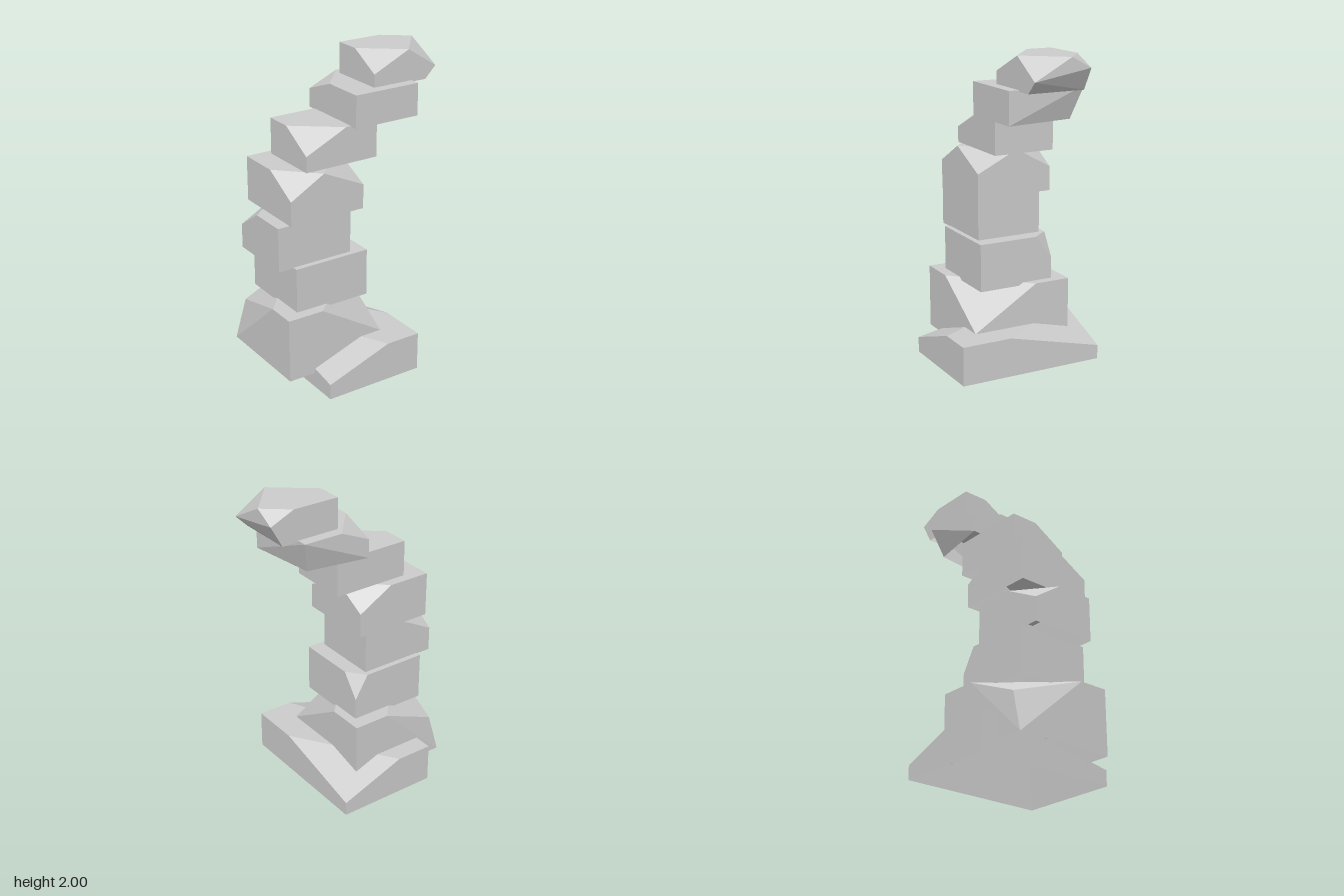
import * as THREE from 'three';
import { ConvexGeometry } from 'three/addons/geometries/ConvexGeometry.js';

const stone = new THREE.MeshStandardMaterial({ color: 0xcccccc, flatShading: true, side: THREE.DoubleSide });

// A stone block, hollow underneath. x, y, z are [min, max] ranges.
// chips: 'sides' names a top corner (e.g. 'RF' = +x, +z); the cut meets the
// top edges at x and z and the upright edge at y (moved to 'at' if given).
// feet: bottom corners that are moved inwards.
function block(name, x, y, z, chips = {}, feet = {}) {
  const points = [];
  for (const side of ['L', 'R']) {
    for (const end of ['B', 'F']) {
      const key = side + end;
      const cx = x[side === 'R' ? 1 : 0];
      const cz = z[end === 'F' ? 1 : 0];
      const [fx, fz] = feet[key] || [cx, cz];
      points.push(new THREE.Vector3(fx, y[0], fz));
      const chip = chips[key];
      if (chip) {
        const [ax, az] = chip.at || [cx, cz];
        points.push(
          new THREE.Vector3(chip.x, y[1], cz),
          new THREE.Vector3(cx, y[1], chip.z),
          new THREE.Vector3(ax, chip.y, az));
      } else {
        points.push(new THREE.Vector3(cx, y[1], cz));
      }
    }
  }
  const hull = new ConvexGeometry(points).getAttribute('position');

  // Leave out the underside
  const kept = [];
  for (let i = 0; i < hull.count; i += 3) {
    const low = [0, 1, 2].every(k => hull.getY(i + k) < y[0] + 1e-4);
    if (low) continue;
    for (let k = 0; k < 3; k++) kept.push(hull.getX(i + k), hull.getY(i + k), hull.getZ(i + k));
  }
  const geometry = new THREE.BufferGeometry();
  geometry.setAttribute('position', new THREE.Float32BufferAttribute(kept, 3));
  geometry.computeVertexNormals();
  const mesh = new THREE.Mesh(geometry, stone);
  mesh.name = name;
  return mesh;
}

export function createModel() {
  const group = new THREE.Group();
  group.name = 'leaningStoneStack';
  group.add(
    block('baseStone', [-0.4, 0.26], [0, 0.25], [-0.48, 0.48], {
      LF: { x: 0.03, y: 0.1, z: -0.36 },
      RB: { x: -0.16, y: 0.09, z: 0.15 },
    }),
    block('secondStone', [-0.58, 0.09], [0.1, 0.513], [-0.357, 0.31], {
      RF: { x: -0.34, y: 0.25, z: -0.12 },
      LB: { x: -0.15, y: 0.36, z: 0.12, at: [-0.51, -0.345] },
    }),
    block('thirdStone', [-0.48, 0.03], [0.495, 0.8], [-0.265, 0.24], {
      RB: { x: -0.06, y: 0.65, z: -0.15 },
    }),
    block('fourthStone', [-0.58, -0.07], [0.795, 1.077], [-0.23, 0.205], {
      LB: { x: -0.34, y: 0.95, z: -0.04 },
    }),
    block('fifthStone', [-0.51, 0], [1.085, 1.37], [-0.265, 0.24], {
      LF: { x: -0.28, y: 1.24, z: 0.01 },
      RF: { x: -0.28, y: 1.24, z: -0.03 },
      RB: { x: -0.23, y: 1.24, z: -0.03 },
    }),
    block('sixthStone', [-0.37, 0.13], [1.375, 1.605], [-0.21, 0.19], {
      LF: { x: -0.09, y: 1.475, z: -0.03 },
    }),
    block('seventhStone', [-0.055, 0.395], [1.6, 1.805], [-0.265, 0.24], {
      LB: { x: 0.14, y: 1.72, z: -0.04 },
    }, { RB: [0.34, -0.2] }),
    block('topStone', [0.12, 0.575], [1.795, 2], [-0.197, 0.173], {
      LF: { x: 0.37, y: 1.885, z: -0.03 },
      RF: { x: 0.37, y: 1.87, z: -0.07 },
      RB: { x: 0.42, y: 1.93, z: -0.07 },
    }, { RF: [0.5, 0.173], RB: [0.5, -0.197] }),
  );
  return group;
}
